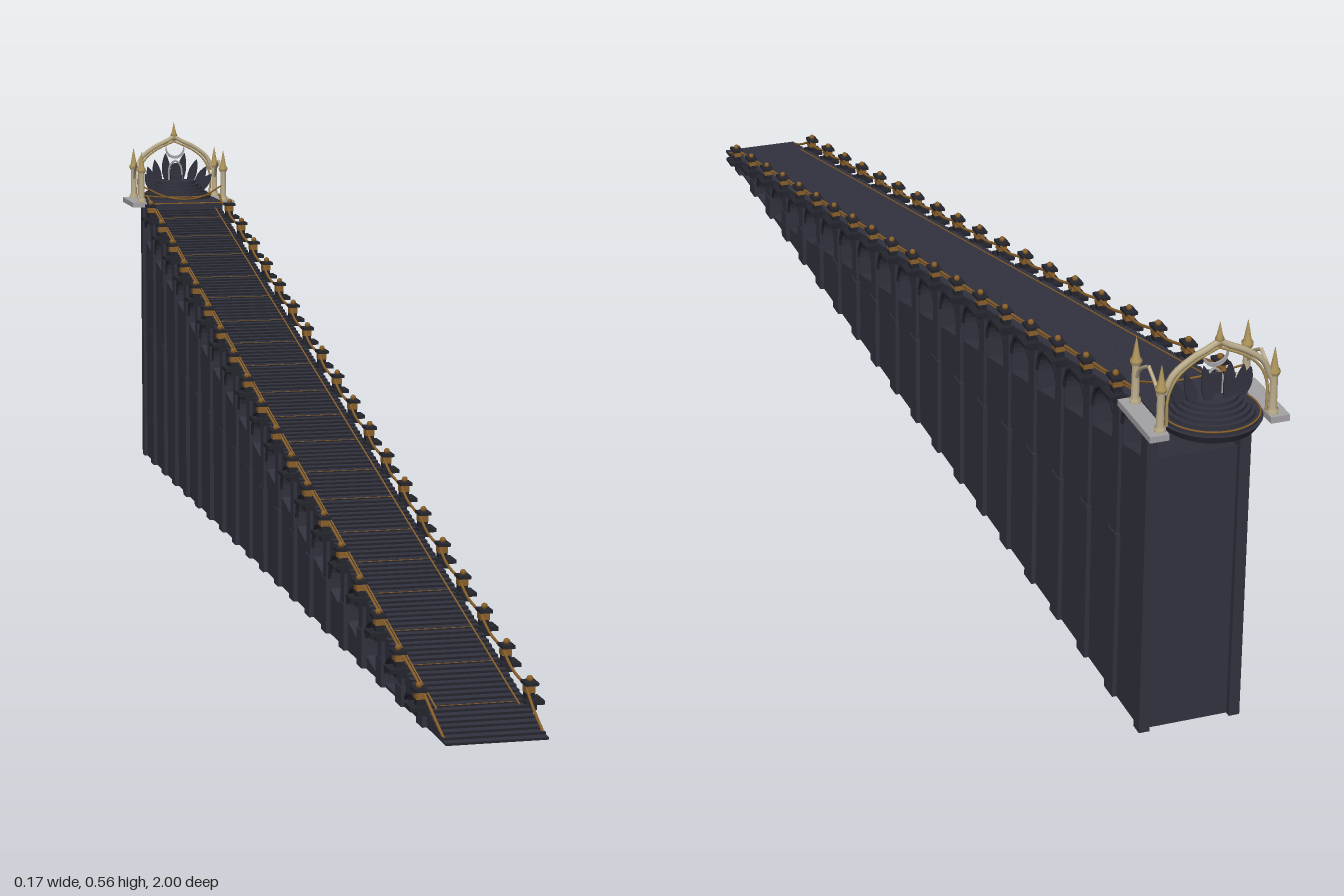
import * as THREE from 'three';

const mat = (name, color) => {
  const m = new THREE.MeshStandardMaterial({ color });
  m.name = name;
  return m;
};

export function createModel() {
  const stone = mat('dark stone', 0x32323f);
  const shade = mat('deep stone', 0x24252d);
  const gold = mat('gold', 0xb0965c);
  const pale = mat('pale gilded stone', 0xbfb08e);
  const bronze = mat('bronze', 0x8a602a);
  const grey = mat('grey stone', 0xa4a2a5);
  const root = new THREE.Group();
  root.name = 'grandStairway';

  const add = (name, geo, m, x = 0, y = 0, z = 0, parent = root) => {
    const mesh = new THREE.Mesh(geo, m);
    mesh.name = name;
    mesh.position.set(x, y, z);
    parent.add(mesh);
    return mesh;
  };
  const box = (name, w, h, d, m, x, y, z, parent) =>
    add(name, new THREE.BoxGeometry(w, h, d), m, x, y, z, parent);
  const tube = (name, pts, r, m, parent, seg = 16) =>
    add(name, new THREE.TubeGeometry(new THREE.CatmullRomCurve3(pts.map(p => new THREE.Vector3(...p))), seg, r, 6),
      m, 0, 0, 0, parent);
  const lathe = pts => new THREE.LatheGeometry(pts.map(p => new THREE.Vector2(...p)), 8);

  const slope = 0.2285, pitch = 0.0955, firstPost = 0.905, posts = 19, half = 0.061;
  const deck = z => slope * (1 - z);
  const wall = z => Math.max(0.004, 0.23 * (0.7 - z));

  // Arched opening of each bay, given as points from front to rear
  const r = 0.036;
  const bayCentre = i => firstPost - (i + 0.5) * pitch;
  const archPoints = (zc, grow, sweep) => {
    const top = deck(zc) - 0.012, h = Math.min(r, top - 0.004);
    return Array.from({ length: 15 }, (_, k) => {
      const a = sweep * k / 14;
      return new THREE.Vector2(zc + (r + grow) * Math.cos(a), top - h + (h + grow) * Math.sin(a));
    });
  };

  // Stair body: stepped top edge, arches above a sloping wall, last bay open to the rear
  const steps = 144, topZ = -0.86, backZ = -0.905, run = (1 - topZ) / steps, rise = slope * run;
  const profile = new THREE.Shape();
  profile.moveTo(1, 0);
  for (let i = 0; i < steps; i++) {
    const z = 1 - i * run, y = (i + 1) * rise;
    profile.lineTo(z, y);
    profile.lineTo(z - run, y);
    box('riser', 2 * half, rise - 0.0002, 0.0006, shade, 0, y - rise / 2 - 0.0001, z + 0.0002);
  }
  profile.lineTo(backZ, deck(topZ));
  const last = archPoints(bayCentre(posts - 1), 0, Math.PI / 2).reverse();
  profile.lineTo(backZ, last[0].y);
  last.forEach(p => profile.lineTo(p.x, p.y));
  profile.lineTo(last[14].x, wall(last[14].x));
  profile.lineTo(backZ, wall(backZ));
  profile.lineTo(backZ, 0);
  profile.closePath();
  for (let i = 0; i < posts - 1; i++) {
    const zc = bayCentre(i), pts = archPoints(zc, 0, Math.PI);
    if (pts[0].y - wall(zc - r) > 0.001) {
      pts.push(new THREE.Vector2(zc - r, wall(zc - r)), new THREE.Vector2(zc + r, wall(zc + r)));
    }
    profile.holes.push(new THREE.Path(pts));
  }
  const body = new THREE.ExtrudeGeometry(profile, { depth: 2 * half, bevelEnabled: false });
  body.rotateY(-Math.PI / 2);
  body.translate(half, 0, 0);
  add('stairBody', body, stone);

  // Piers, caps, lanterns, chains and arch mouldings along both sides
  const knob = new THREE.SphereGeometry(0.0042, 8, 6);
  for (const s of [1, -1]) {
    const side = new THREE.Group();
    side.name = s > 0 ? 'leftArcade' : 'rightArcade';
    root.add(side);
    for (let i = 0; i < posts; i++) {
      const z = firstPost - i * pitch, y = deck(z);
      box('pier', 0.008, y, 0.02, stone, s * 0.0615, y / 2, z, side);
      box('pierBase', 0.009, y * 0.55, 0.027, stone, s * 0.0625, y * 0.275, z, side);
      box('pierCapital', 0.016, 0.006, 0.024, shade, s * 0.064, y - 0.006, z, side);
      box('ledge', 0.024, 0.005, 0.03, shade, s * 0.069, y, z, side);
      box('railPost', 0.011, 0.008, 0.012, shade, s * 0.066, y + 0.006, z, side);
      box('lantern', 0.012, 0.009, 0.014, bronze, s * 0.066, y + 0.0145, z, side);
      box('lanternRoof', 0.016, 0.004, 0.022, shade, s * 0.067, y + 0.021, z, side);
      add('finial', knob, bronze, s * 0.067, y + 0.026, z, side);
      tube('archMoulding', archPoints(bayCentre(i), 0.002, Math.PI).map(p => [s * half, p.y, p.x]), 0.0025, shade, side);
      // Chain to the next post
      const z2 = i < posts - 1 ? z - pitch : -0.875, zm = (z + z2) / 2;
      tube('chain', [[s * 0.062, y + 0.018, z], [s * 0.06, deck(zm) + 0.015, zm], [s * 0.062, deck(z2) + 0.018, z2]],
        0.0019, bronze, side, 8);
    }
    tube('startChain', [[s * 0.059, 0.004, 0.985], [s * 0.06, 0.02, 0.945], [s * 0.062, deck(firstPost) + 0.018, firstPost]],
      0.0019, bronze, side, 8);
    // Inlaid strip resting on the step edges
    const z0 = 0.92, length = (z0 - topZ) * Math.hypot(1, slope), zm = (z0 + topZ) / 2;
    const strip = box('stairInlay', 0.0018, 0.001, length, bronze, s * 0.05, deck(zm) + rise + 0.0006, zm, side);
    strip.rotation.x = Math.atan(slope);
    box('backPier', 0.014, 0.428, 0.018, stone, s * 0.059, 0.214, -0.904, side);
  }
  // Thin bronze line on the riser beside each post
  for (let i = 0; i < posts; i++) {
    const n = Math.round((1 - firstPost + i * pitch) / run);
    box('riserTrim', 0.1, 0.0008, 0.0006, bronze, 0, (n + 1) * rise - 0.0008, 1 - n * run + 0.0006);
  }

  // Top platform with a rounded rear
  const summit = new THREE.Group();
  summit.name = 'summit';
  root.add(summit);
  const cz = -0.938;
  box('platform', 0.124, 0.014, 0.09, stone, 0, 0.43, -0.895, summit);
  add('platformRound', new THREE.CylinderGeometry(0.062, 0.056, 0.01, 40), stone, 0, 0.432, cz, summit);
  box('platformTrim', 0.122, 0.0018, 0.001, bronze, 0, 0.4355, -0.8498, summit);
  for (let i = 0; i < 6; i++) {
    const rad = 0.058 - i * 0.005;
    add('daisStep', new THREE.CylinderGeometry(rad, rad, 0.005, 32), stone, 0, 0.4393 + i * 0.0048, cz, summit);
  }
  add('daisTrim', new THREE.TorusGeometry(0.0585, 0.0012, 5, 40).rotateX(Math.PI / 2), bronze, 0, 0.4425, cz, summit);

  // Fan of dark blades behind the seat
  const leaf = new THREE.Shape();
  leaf.moveTo(-0.002, 0);
  leaf.quadraticCurveTo(-0.014, 0.026, 0.002, 0.052);
  leaf.quadraticCurveTo(0.012, 0.026, 0.002, 0);
  leaf.closePath();
  const leafGeo = new THREE.ExtrudeGeometry(leaf, { depth: 0.003, bevelEnabled: false });
  for (const s of [1, -1]) {
    for (let i = 0; i < 4; i++) {
      const a = 0.3 + i * 0.42;
      const b = add('blade', leafGeo, stone, s * 0.038 * Math.sin(a), 0.459 - i * 0.004, cz + 0.01 - 0.034 * Math.cos(a), summit);
      b.rotation.z = -s * (0.1 + i * 0.15);
      b.scale.y = 1 - i * 0.1;
    }
  }

  // Seat with arched back, and crescent above
  box('seat', 0.018, 0.01, 0.014, stone, 0, 0.47, cz - 0.002, summit);
  box('seatBack', 0.016, 0.024, 0.003, stone, 0, 0.482, cz - 0.011, summit);
  tube('seatArch', [[-0.011, 0.464, cz - 0.009], [-0.01, 0.488, cz - 0.009], [0, 0.499, cz - 0.009],
    [0.01, 0.488, cz - 0.009], [0.011, 0.464, cz - 0.009]], 0.0018, grey, summit);
  const moon = new THREE.Shape();
  moon.absarc(0, 0, 0.016, -Math.PI * 1.17, Math.PI * 0.17, false);
  moon.absarc(0, 0.0035, 0.0147, Math.PI * 0.1, -Math.PI * 1.1, true);
  add('crescent', new THREE.ExtrudeGeometry(moon, { depth: 0.003, bevelEnabled: false, curveSegments: 24 }),
    grey, 0, 0.518, cz - 0.012, summit);

  // Canopy: four spired pillars, side arches and a rear pointed arch
  const front = -0.882, rear = -0.958;
  const shaft = lathe([[0.0075, 0], [0.0075, 0.005], [0.0052, 0.008], [0.0048, 0.048], [0.007, 0.052]]);
  const spire = lathe([[0.007, 0], [0.0078, 0.003], [0.005, 0.007], [0.0025, 0.021], [0, 0.034]]);
  for (const s of [1, -1]) {
    box('plinth', 0.024, 0.008, 0.1, grey, s * 0.075, 0.432, -0.92, summit);
    for (const z of [front, rear]) {
      add('pillarShaft', shaft, pale, s * 0.07, 0.435, z, summit);
      add('pillarSpire', spire, gold, s * 0.07, 0.487, z, summit);
    }
    const mid = (front + rear) / 2;
    for (const d of [1, -1]) {
      const e = mid + d * (front - mid);
      tube('sideArch', [[s * 0.07, 0.465, e], [s * 0.07, 0.484, mid + d * 0.025], [s * 0.07, 0.5, mid]], 0.0024, pale, summit);
    }
    tube('rearArch', [[s * 0.066, 0.482, rear], [s * 0.056, 0.504, rear], [s * 0.033, 0.522, rear],
      [s * 0.012, 0.532, rear], [0, 0.539, rear]], 0.004, pale, summit);
    tube('rearInnerArch', [[s * 0.062, 0.44, rear], [s * 0.061, 0.478, rear], [s * 0.05, 0.501, rear],
      [s * 0.03, 0.517, rear], [0, 0.531, rear]], 0.0018, gold, summit);
  }
  add('crownSpire', lathe([[0, 0], [0.004, 0.003], [0.003, 0.008], [0.006, 0.011], [0.004, 0.015], [0, 0.034]]),
    gold, 0, 0.53, rear, summit);
  tube('frontSwag', [[-0.069, 0.462, front], [-0.03, 0.445, front + 0.02], [0, 0.441, front + 0.025],
    [0.03, 0.445, front + 0.02], [0.069, 0.462, front]], 0.0014, bronze, summit, 20);

  return root;
}
